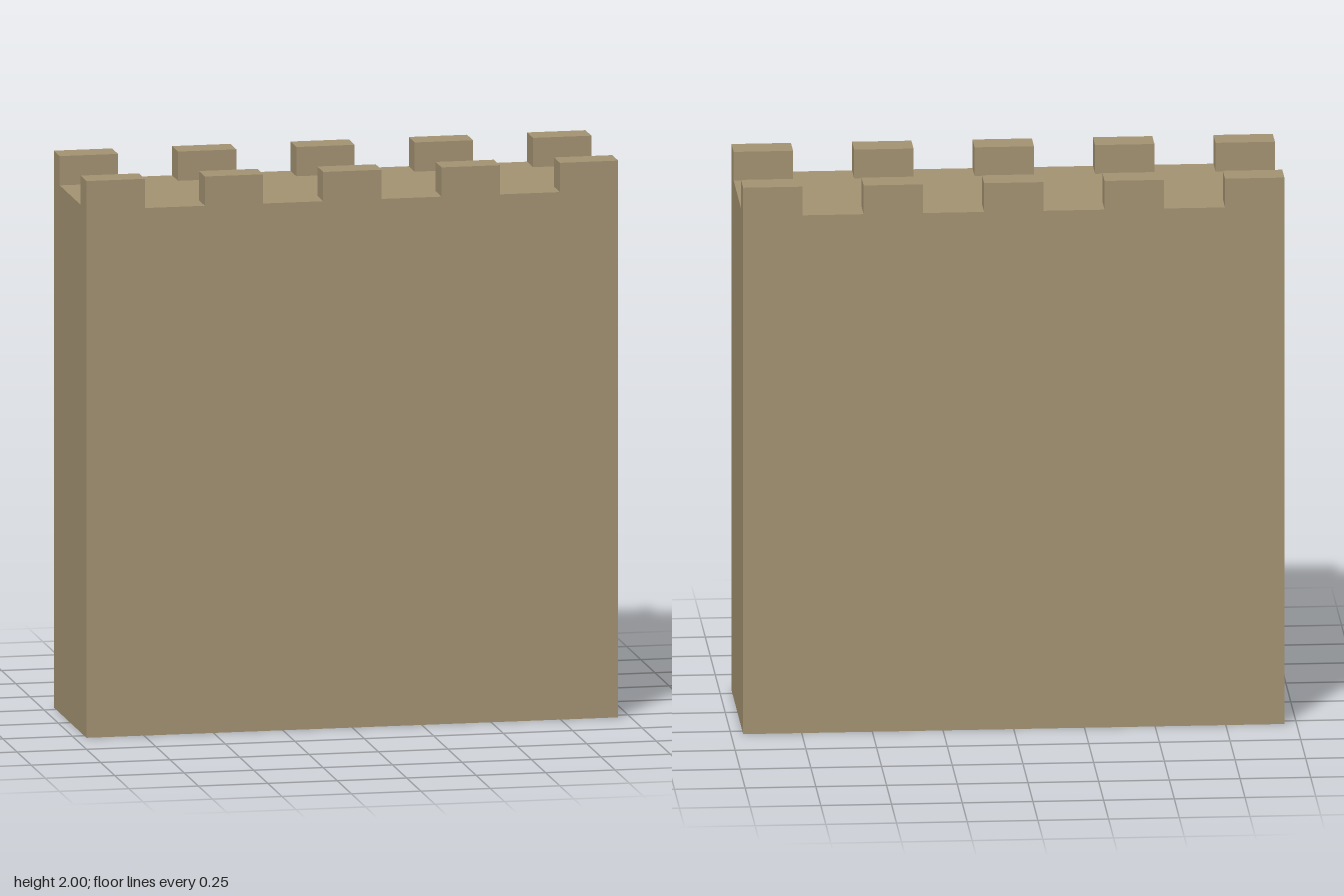
import * as THREE from 'three';

const WIDTH = 1.914, DEPTH = 0.58, HEIGHT = 2;
const MERLON = { width: 0.21, height: 0.105, depth: 0.105 };
const MERLONS_PER_SIDE = 5;

export function createModel() {
  const group = new THREE.Group();
  group.name = 'castleWall';
  const stone = new THREE.MeshStandardMaterial({ color: 0xa59473, flatShading: true });

  const addBox = (name, w, h, d, x, y, z) => {
    const mesh = new THREE.Mesh(new THREE.BoxGeometry(w, h, d), stone);
    mesh.name = name;
    mesh.position.set(x, y + h / 2, z);
    group.add(mesh);
  };

  // Solid wall block up to the walkway
  const walkway = HEIGHT - MERLON.height;
  addBox('wall', WIDTH, walkway, DEPTH, 0, 0, 0);

  // Evenly spaced merlons, flush with the front and back faces
  const pitch = (WIDTH - MERLON.width) / (MERLONS_PER_SIDE - 1);
  for (const side of [1, -1]) {
    for (let i = 0; i < MERLONS_PER_SIDE; i++) {
      const x = (i - (MERLONS_PER_SIDE - 1) / 2) * pitch;
      const z = side * (DEPTH - MERLON.depth) / 2;
      addBox(side > 0 ? 'frontMerlon' : 'backMerlon',
        MERLON.width, MERLON.height, MERLON.depth, x, walkway, z);
    }
  }
  return group;
}
